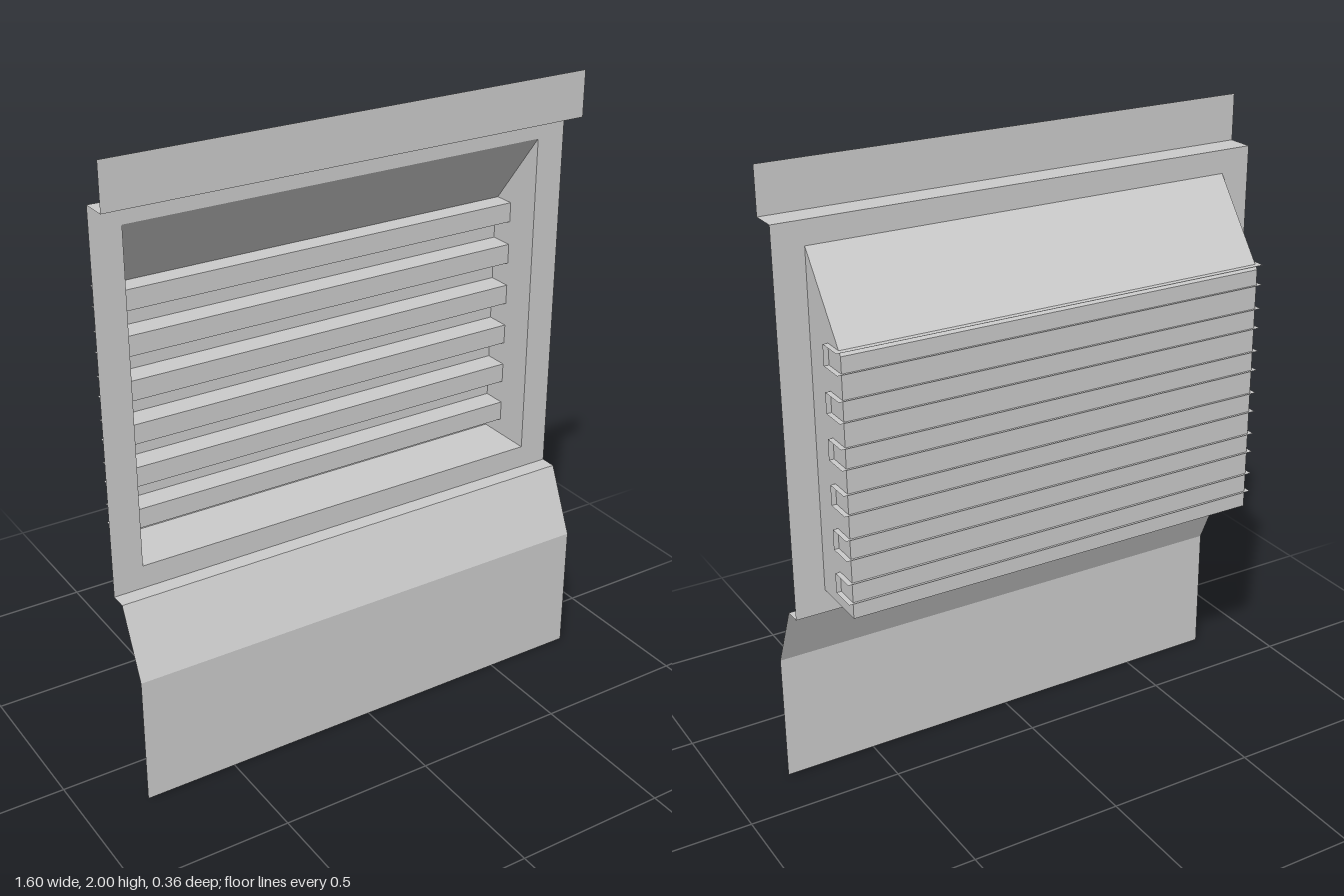
import * as THREE from 'three';

const material = new THREE.MeshStandardMaterial({ color: 0xcccccc, side: THREE.DoubleSide, flatShading: true });

// Folded thin sheet: a [z, y] profile swept across x from -half to +half
function foldedSheet(name, profile, half) {
  const pos = [];
  for (let i = 0; i < profile.length - 1; i++) {
    const [z0, y0] = profile[i];
    const [z1, y1] = profile[i + 1];
    pos.push(-half, y0, z0, -half, y1, z1, half, y1, z1);
    pos.push(-half, y0, z0, half, y1, z1, half, y0, z0);
  }
  const geo = new THREE.BufferGeometry();
  geo.setAttribute('position', new THREE.Float32BufferAttribute(pos, 3));
  geo.computeVertexNormals();
  const mesh = new THREE.Mesh(geo, material);
  mesh.name = name;
  return mesh;
}

function flatShape(name, points, holePoints) {
  const toPts = (list) => list.map(([x, y]) => new THREE.Vector2(x, y));
  const shape = new THREE.Shape(toPts(points));
  if (holePoints) shape.holes.push(new THREE.Path(toPts(holePoints)));
  const mesh = new THREE.Mesh(new THREE.ShapeGeometry(shape), material);
  mesh.name = name;
  return mesh;
}

export function createModel() {
  const group = new THREE.Group();
  group.name = 'louverVent';

  const half = 0.8, open = 0.702;
  const face = 0.027, back = -0.17;
  const openBottom = 0.717, openTop = 1.78, roofBack = 1.525;
  const panelTop = 1.854, panelBottom = 0.642;

  // Face frame with the rectangular opening
  const frame = flatShape('faceFrame',
    [[-half, panelBottom], [half, panelBottom], [half, panelTop], [-half, panelTop]],
    [[-open, openBottom], [-open, openTop], [open, openTop], [open, openBottom]]);
  frame.position.z = face;
  group.add(frame);

  // Upper flange stepping forward, and lower apron sloping out
  group.add(foldedSheet('topFlange', [[face, panelTop], [0.112, panelTop], [0.112, 2]], half));
  group.add(foldedSheet('lowerApron',
    [[face, panelBottom], [0.08, panelBottom], [0.177, 0.424], [0.177, 0]], half));

  // Recessed box: sloped roof, back and floor, then the two side walls
  group.add(foldedSheet('recessShell',
    [[face, openTop], [back, roofBack], [back, openBottom], [face, openBottom]], open));
  for (const side of [-1, 1]) {
    const wall = flatShape(side > 0 ? 'leftWall' : 'rightWall',
      [[-face, openBottom], [-back, openBottom], [-back, roofBack], [-face, openTop]]);
    wall.rotation.y = Math.PI / 2;
    wall.position.x = side * open;
    group.add(wall);
  }

  // Channel slats whose legs poke slightly through the back and sides
  const slatFront = -0.092, slatBack = -0.178, slatHeight = 0.064;
  for (let i = 0; i < 6; i++) {
    const top = 1.539 - i * 0.141;
    group.add(foldedSheet('slat' + (i + 1), [
      [slatBack, top], [slatFront, top],
      [slatFront, top - slatHeight], [slatBack, top - slatHeight],
    ], 0.718));
  }
  return group;
}
